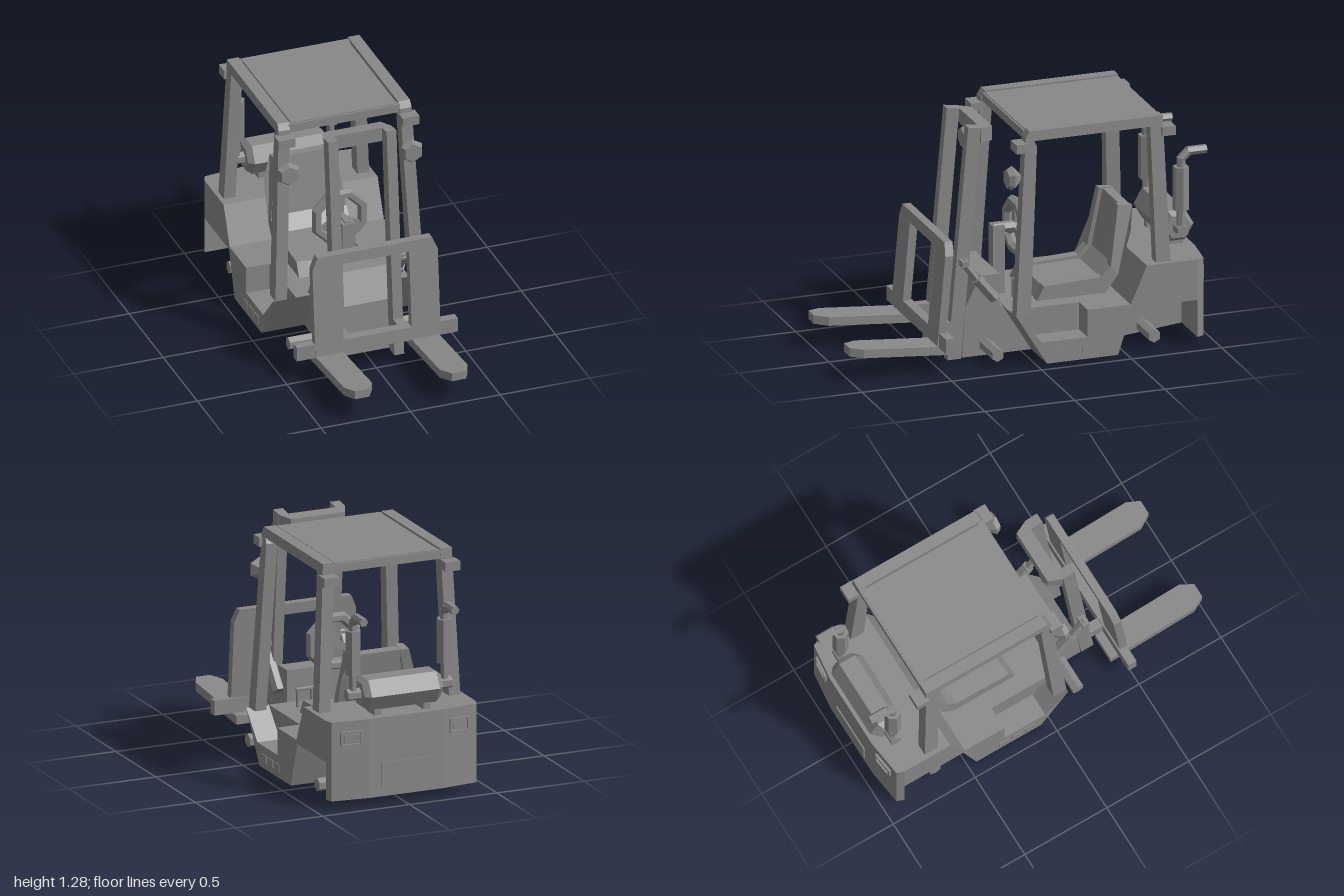
import * as THREE from 'three';

const grey = new THREE.MeshStandardMaterial({ color: 0x888888 });
grey.name = 'grey';

export function createModel() {
  const model = new THREE.Group();
  model.name = 'forklift';

  // Adds a faceted mesh, optionally reshaped by a vertex rule.
  function add(name, geometry, rule) {
    const g = geometry.index ? geometry.toNonIndexed() : geometry;
    if (rule) {
      const p = g.attributes.position, v = new THREE.Vector3();
      for (let i = 0; i < p.count; i++) {
        rule(v.fromBufferAttribute(p, i));
        p.setXYZ(i, v.x, v.y, v.z);
      }
    }
    g.computeVertexNormals();
    const mesh = new THREE.Mesh(g, grey);
    mesh.name = name;
    model.add(mesh);
    return mesh;
  }
  const shape = (pts) => new THREE.Shape(pts.map(([x, y]) => new THREE.Vector2(x, y)));
  const extrude = (s, depth) => new THREE.ExtrudeGeometry(s, { depth, bevelEnabled: false });
  // Side profile of [z, y] points, spanning x0..x1
  const side = (pts, x0, x1) => extrude(shape(pts), x1 - x0).rotateY(-Math.PI / 2).translate(x1, 0, 0);
  // Plan outline of [x, z] points, spanning y0..y1
  const plan = (pts, y0, y1) =>
    extrude(shape(pts.map(([x, z]) => [x, -z])), y1 - y0).rotateX(-Math.PI / 2).translate(0, y0, 0);
  const box = (x0, x1, y0, y1, z0, z1) =>
    new THREE.BoxGeometry(x1 - x0, y1 - y0, z1 - z0).translate((x0 + x1) / 2, (y0 + y1) / 2, (z0 + z1) / 2);
  // Six-sided bar between two points
  function rod(name, a, b, r) {
    const p = new THREE.Vector3(...a), q = new THREE.Vector3(...b), d = q.clone().sub(p);
    const m = add(name, new THREE.CylinderGeometry(r, r, d.length(), 6, 1, false, Math.PI / 2));
    m.position.copy(p).add(q).multiplyScalar(0.5);
    m.quaternion.setFromUnitVectors(new THREE.Vector3(0, 1, 0), d.normalize());
  }

  // Chassis: narrow spine, wide middle, engine hood and counterweight
  add('chassisSpine', side([[0.33, 0.01], [0.31, 0.29], [0.23, 0.45], [0.12, 0.45], [0.12, 0.27], [-0.9, 0.27],
    [-0.9, 0.056], [-0.45, 0.01]], -0.19, 0.19));
  add('middleBody', side([[0.11, 0.28], [-0.055, 0.01], [-0.45, 0.01], [-0.53, 0.26], [-0.53, 0.28]], -0.3, 0.3));
  add('engineHood', side([[-0.52, 0.26], [-0.52, 0.28], [-0.61, 0.485], [-0.89, 0.485], [-0.89, 0.26]], -0.43, 0.43));
  add('counterweight', plan([[-0.43, -0.89], [0.43, -0.89], [0.415, -0.93], [0.21, -0.955], [-0.21, -0.955],
    [-0.415, -0.93]], 0.055, 0.485));
  add('rearPlate', box(-0.14, 0.14, 0.11, 0.24, -0.962, -0.955));

  // Load carriage, leaning back with the mast
  const backrest = shape([[-0.35, 0.15], [0.35, 0.15], [0.35, 0.64], [0.32, 0.71], [-0.32, 0.71], [-0.35, 0.64]]);
  backrest.holes.push(new THREE.Path([[-0.19, 0.22], [-0.19, 0.65], [0.19, 0.65], [0.19, 0.22]]
    .map(([x, y]) => new THREE.Vector2(x, y))));
  add('loadBackrest', extrude(backrest, 0.045).translate(0, 0, 0.43), (v) => { v.z += (0.71 - v.y) * 0.09; });
  add('carriageBar', box(-0.45, 0.45, 0.14, 0.22, 0.465, 0.515));
  add('mastCrossbar', box(-0.19, 0.19, 1.19, 1.27, 0.15, 0.225), (v) => {
    v.y += (0.225 - v.z) * -0.1;
    if (v.z < 0.2) v.x *= 0.82;
  });

  // Roof panel between the side frames
  add('roofPanel', box(-0.295, 0.295, 1.235, 1.28, -0.71, 0.025));
  add('roofFrontBeam', box(-0.31, 0.31, 1.23, 1.275, 0.0, 0.035));
  add('roofRearBeam', box(-0.31, 0.31, 1.23, 1.275, -0.72, -0.685));

  for (const s of [-1, 1]) {
    // Mirrored spans keep x0 below x1
    const sp = (a, b) => (s > 0 ? [a, b] : [-b, -a]);

    add('sideStep', side([[0.11, 0.28], [-0.055, 0.01], [-0.45, 0.01], [-0.53, 0.26], [-0.53, 0.28], [-0.28, 0.28],
      [-0.28, 0.13], [-0.03, 0.13]], ...sp(0.3, 0.43)));
    for (let i = 0; i < 3; i++)
      add('stepVent', box(...sp(0.43, 0.434), 0.045, 0.085, -0.15 - i * 0.08, -0.09 - i * 0.08));
    for (const z of [0.2, -0.67]) rod('axleStub', [s * 0.15, 0.07, z], [s * 0.38, 0.07, z], 0.036);

    // Overhead guard frame, narrowing towards the roof
    add('guardFrame', side([[0.11, 0.28], [0.042, 1.25], [0.02, 1.285], [-0.72, 1.285], [-0.75, 0.48], [-0.67, 0.48],
      [-0.65, 1.23], [-0.005, 1.23], [-0.02, 1.2], [0.03, 0.28]], ...sp(0.35, 0.415)),
    (v) => { v.x -= s * (v.y - 0.28) * 0.045; });
    add('frontMarkerLight', box(...sp(0.3, 0.393), 1.175, 1.225, 0.03, 0.1));
    add('rearMarkerLight', box(...sp(0.305, 0.39), 1.175, 1.225, -0.785, -0.71));

    // Hexagonal work lamp
    add('workLampBack', new THREE.CylinderGeometry(0.068, 0.02, 0.045, 6).rotateX(Math.PI / 2)
      .translate(s * 0.345, 1.03, 0.0875));
    add('workLampFront', new THREE.CylinderGeometry(0.052, 0.068, 0.03, 6).rotateX(Math.PI / 2)
      .translate(s * 0.345, 1.03, 0.125));

    // Mast rail, tilt cylinder and carriage roller
    add('mastRail', side([[0.41, 0.005], [0.295, 1.28], [0.225, 1.27], [0.335, 0.005]], ...sp(0.135, 0.19)));
    rod('tiltPiston', [s * 0.22, 0.555, 0.34], [s * 0.22, 0.42, 0.24], 0.022);
    rod('tiltCylinder', [s * 0.22, 0.45, 0.26], [s * 0.22, 0.33, 0.16], 0.033);
    add('tiltBracket', box(...sp(0.185, 0.25), 0.53, 0.56, 0.31, 0.35));
    add('carriageRoller', box(...sp(0.135, 0.19), 0.14, 0.21, 0.38, 0.48));

    // Fork with a tapered tip, rising forwards
    add('fork', plan([[0.19, 0.42], [0.345, 0.42], [0.345, 0.93], [0.31, 1], [0.23, 1], [0.19, 0.93]]
      .map(([x, z]) => [s * x, z]), 0.09, 0.137), (v) => { v.y += Math.max(0, v.z - 0.48) * 0.095; });

    // Exhaust stack bending to the rear
    const ex = s * 0.262, ez = -0.86;
    rod('exhaustElbow', [s * 0.2, 0.6, ez], [s * 0.3, 0.6, ez], 0.033);
    rod('exhaustLowerPipe', [ex, 0.6, ez], [ex, 0.72, ez], 0.022);
    rod('exhaustMuffler', [ex, 0.71, ez], [ex, 0.95, ez], 0.043);
    rod('exhaustUpperPipe', [ex, 0.94, ez], [ex, 1.0, ez], 0.024);
    rod('exhaustBend', [ex, 0.99, ez], [ex, 1.033, -0.905], 0.024);
    rod('exhaustTip', [ex, 1.03, -0.895], [ex, 1.03, -1], 0.024);

    // Tail lamp: frame and lens, turned to the slanted rear corner
    const lamp = new THREE.Group();
    lamp.name = 'tailLamp';
    lamp.position.set(s * 0.31, 0.39, -0.946);
    lamp.rotation.y = -s * 0.12;
    for (const [n, g] of [['lampTop', box(-0.06, 0.06, 0.03, 0.04, -0.01, 0.01)],
      ['lampBottom', box(-0.06, 0.06, -0.04, -0.03, -0.01, 0.01)],
      ['lampInner', box(-0.06, -0.048, -0.03, 0.03, -0.01, 0.01)],
      ['lampOuter', box(0.048, 0.06, -0.03, 0.03, -0.01, 0.01)],
      ['lampLens', box(-0.035, 0.035, -0.02, 0.02, -0.002, 0.006)]]) lamp.add(add(n, g));
    model.add(lamp);

    // Seat bolster, narrowing at the top
    add('seatBolster', side([[-0.08, 0.28], [-0.12, 0.355], [-0.44, 0.37], [-0.49, 0.42], [-0.545, 0.74],
      [-0.625, 0.73], [-0.6, 0.6], [-0.53, 0.37], [-0.46, 0.28]], ...sp(0.15, 0.21)),
    (v) => { if (v.y > 0.7) v.x *= 0.8; });
    add('tankFoot', box(...sp(0.12, 0.16), 0.48, 0.54, -0.91, -0.81));
  }

  // Seat cushion and back, slightly sunk between the bolsters
  add('seat', side([[-0.085, 0.28], [-0.125, 0.345], [-0.45, 0.35], [-0.515, 0.42], [-0.565, 0.735],
    [-0.62, 0.73], [-0.595, 0.6], [-0.525, 0.37], [-0.46, 0.28]], -0.15, 0.15),
  (v) => { if (v.y > 0.7) v.x *= 0.8; });

  // Gas tank with chamfered ends
  const tank = [[0, -0.225], [0.07, -0.225], [0.096, -0.195], [0.096, 0.195], [0.07, 0.225], [0, 0.225]];
  add('gasTank', new THREE.LatheGeometry(tank.map(([r, y]) => new THREE.Vector2(r, y)), 6)
    .rotateZ(Math.PI / 2).translate(0, 0.6, -0.86));

  // Steering wheel, column and control levers
  add('steeringWheel', new THREE.TorusGeometry(0.138, 0.029, 6, 8).rotateZ(Math.PI / 8).translate(0, 0.63, -0.04));
  for (const a of [Math.PI / 2, Math.PI * 7 / 6, Math.PI * 11 / 6])
    add('wheelSpoke', box(0, 0.13, -0.018, 0.018, -0.01, 0.01).rotateZ(a).translate(0, 0.63, -0.035));
  rod('steeringShaft', [0, 0.635, 0.09], [0, 0.635, -0.05], 0.03);
  add('steeringColumn', box(-0.036, 0.036, 0.27, 0.655, 0.035, 0.1));
  for (const x of [0.1, 0.18]) rod('controlLever', [x, 0.27, 0.01], [x, 0.38, 0.01], 0.01);
  rod('leverBar', [0.09, 0.375, 0.01], [0.19, 0.375, 0.01], 0.01);

  return model;
}
